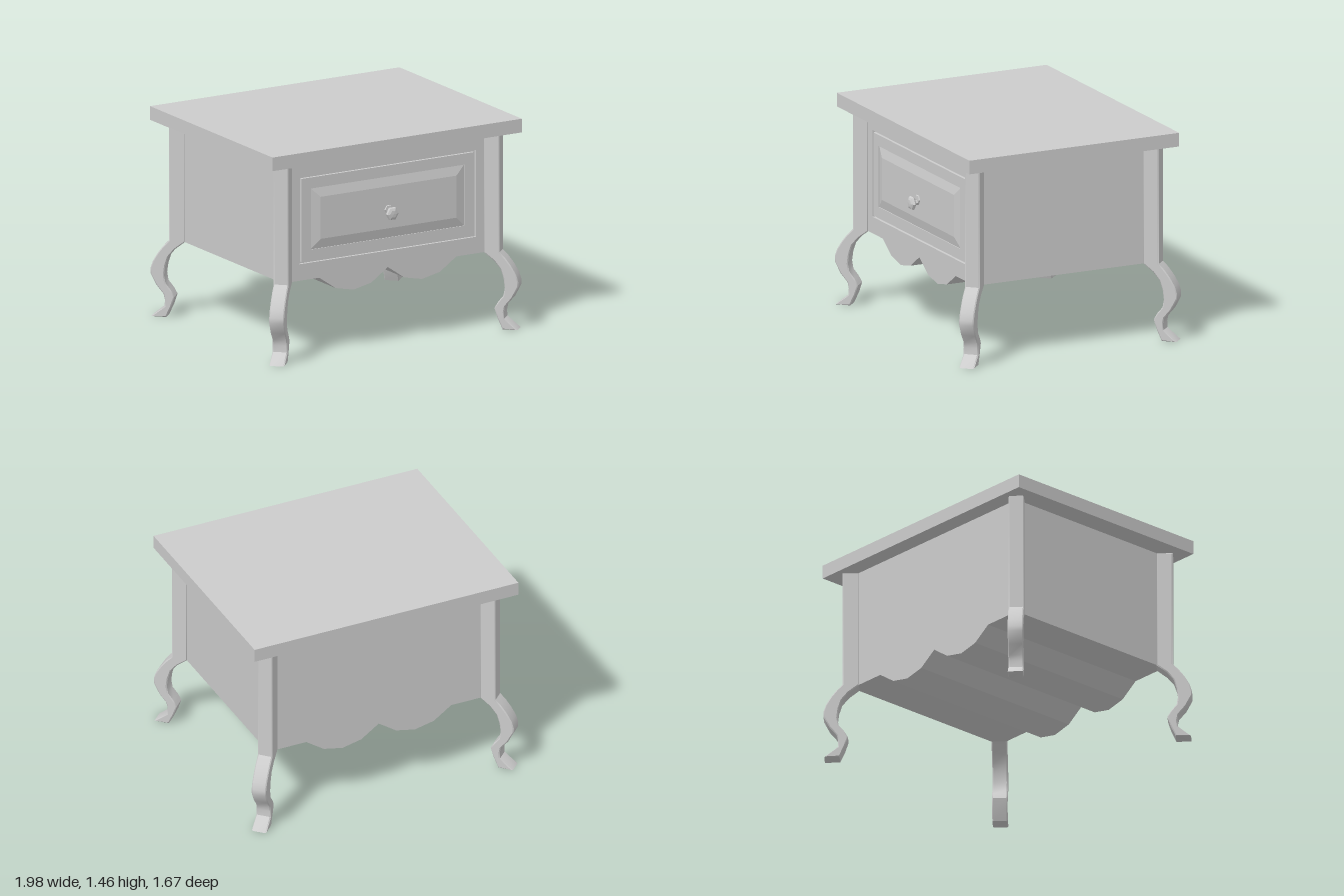
import * as THREE from 'three';
import { toCreasedNormals } from 'three/addons/utils/BufferGeometryUtils.js';

const grey = new THREE.MeshStandardMaterial({ color: 0xcccccc });
const greyFlat = new THREE.MeshStandardMaterial({ color: 0xcccccc, flatShading: true });

const FRONT = 0.67; // front plane of the cabinet

function add(parent, name, geometry, material = grey) {
  const mesh = new THREE.Mesh(geometry, material);
  mesh.name = name;
  parent.add(mesh);
  return mesh;
}

function extrude(shape, z0, z1) {
  const geo = new THREE.ExtrudeGeometry(shape, { depth: z1 - z0, bevelEnabled: false });
  return geo.translate(0, 0, z0);
}

// Rectangle centred on x, as a list of points
function rect(halfW, y0, y1) {
  return [[-halfW, y0], [halfW, y0], [halfW, y1], [-halfW, y1]].map(p => new THREE.Vector2(...p));
}

// Cabinet outline with the scalloped apron along the bottom
function cabinetOutline() {
  const half = [[0, 0.53], [0.13, 0.44], [0.27, 0.41], [0.41, 0.44], [0.54, 0.53], [0.825, 0.53], [0.825, 1.36]];
  const left = half.slice(1).reverse().map(([x, y]) => [-x, y]);
  return new THREE.Shape([...left, ...half].map(p => new THREE.Vector2(...p)));
}

// Cabriole leg: side profile along the diagonal, with chamfered edges
function legGeometry() {
  const outer = [[0.868, 1.36], [0.868, 0.535], [0.896, 0.495], [0.923, 0.445], [0.948, 0.385], [0.959, 0.335],
    [0.959, 0.3], [0.93, 0.22], [0.895, 0.16], [0.889, 0.12], [0.89, 0.075], [0.955, 0.0]];
  const inner = [[0.882, 0.0], [0.858, 0.075], [0.842, 0.145], [0.86, 0.19], [0.886, 0.235], [0.893, 0.29],
    [0.887, 0.355], [0.872, 0.42], [0.84, 0.475], [0.79, 0.53], [0.79, 1.36]];
  const points = [...outer, ...inner].map(([x, y]) => new THREE.Vector2((x - 0.87) * Math.SQRT2, y));
  const width = 0.104, bevel = 0.007;
  const geo = new THREE.ExtrudeGeometry(new THREE.Shape(points), {
    depth: width - 2 * bevel, bevelEnabled: true, bevelSegments: 1,
    bevelSize: bevel, bevelThickness: bevel, bevelOffset: -bevel,
  });
  geo.translate(0, 0, -width / 2 + bevel);
  return toCreasedNormals(geo, 0.65);
}

// Raised panel: a shallow frustum between two rectangles
function raisedPanelGeometry(a, b, z0, z1) {
  const ring = (r, z) => r.map(p => [p.x, p.y, z]);
  const A = ring(a, z0), B = ring(b, z1);
  const pos = [];
  const quad = (p, q, r, s) => [p, q, r, p, r, s].forEach(v => pos.push(...v));
  for (let i = 0; i < 4; i++) {
    const j = (i + 1) % 4;
    quad(A[i], A[j], B[j], B[i]);
  }
  quad(...B);
  const geo = new THREE.BufferGeometry();
  geo.setAttribute('position', new THREE.Float32BufferAttribute(pos, 3));
  geo.computeVertexNormals();
  return geo;
}

export function createModel() {
  const model = new THREE.Group();
  model.name = 'nightstand';

  // Table top
  add(model, 'tableTop', new THREE.BoxGeometry(1.965, 0.095, 1.585)).position.y = 1.4075;

  // Cabinet with a front frame that leaves the drawer opening
  add(model, 'cabinet', extrude(cabinetOutline(), -FRONT, FRONT - 0.02));
  const frame = cabinetOutline();
  frame.holes.push(new THREE.Path(rect(0.695, 0.645, 1.25)));
  add(model, 'frontFrame', extrude(frame, FRONT - 0.02, FRONT));

  // Drawer: border, sunken line, raised field
  const drawer = new THREE.Group();
  drawer.name = 'drawer';
  model.add(drawer);
  const border = new THREE.Shape(rect(0.68, 0.658, 1.237));
  border.holes.push(new THREE.Path(rect(0.605, 0.735, 1.16)));
  add(drawer, 'drawerBorder', extrude(border, FRONT - 0.02, FRONT));
  add(drawer, 'drawerPanel', raisedPanelGeometry(
    rect(0.605, 0.735, 1.16), rect(0.535, 0.802, 1.095), FRONT - 0.006, FRONT + 0.01));

  // Six-sided knob on a small backplate
  const knob = new THREE.Group();
  knob.name = 'knob';
  knob.position.set(0, 0.915, FRONT + 0.008);
  drawer.add(knob);
  const turned = (name, profile) => {
    const geo = new THREE.LatheGeometry(profile.map(p => new THREE.Vector2(...p)), 6, Math.PI / 6);
    return add(knob, name, geo.rotateX(Math.PI / 2), greyFlat);
  };
  turned('knobPlate', [[0.034, 0], [0.03, 0.01], [0, 0.012]]).position.y = 0.02;
  turned('knobHandle', [[0.02, 0], [0.018, 0.025], [0.04, 0.035], [0.05, 0.047], [0.044, 0.06], [0.026, 0.068], [0, 0.07]]);

  // Legs set diagonally on the four corners
  const leg = legGeometry();
  for (const sx of [-1, 1]) {
    for (const sz of [-1, 1]) {
      const name = (sz > 0 ? 'front' : 'back') + (sx > 0 ? 'Left' : 'Right') + 'Leg';
      const mesh = add(model, name, leg);
      mesh.position.set(sx * 0.87, 0, sz * 0.715);
      mesh.rotation.y = -Math.atan2(sz, sx);
    }
  }
  return model;
}
